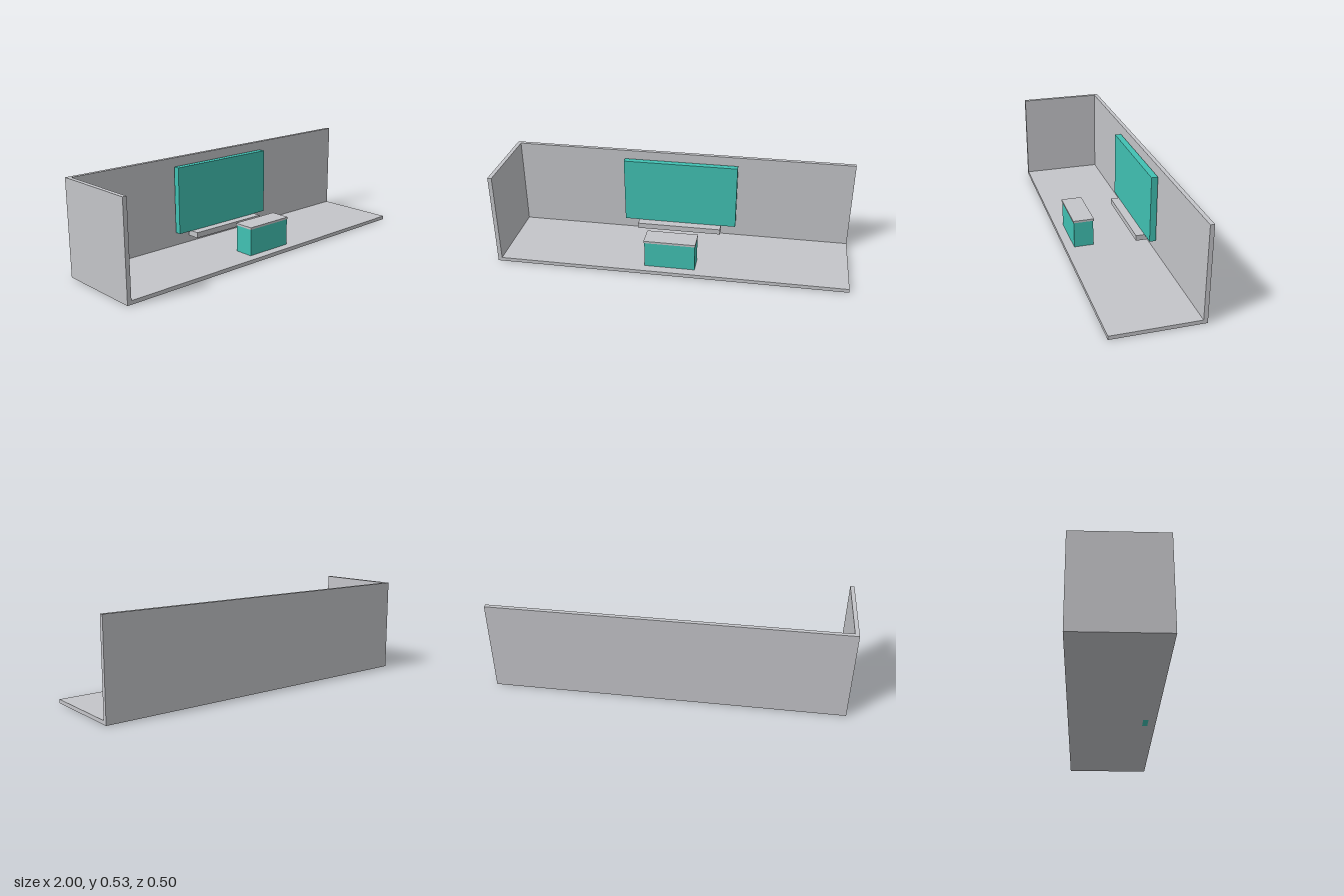
import * as THREE from 'three';

export function createModel() {
  const group = new THREE.Group();
  group.name = 'exhibitionBooth';

  const grey = new THREE.MeshStandardMaterial({ color: 0xc4c5c9 });
  grey.name = 'light grey';
  const teal = new THREE.MeshStandardMaterial({ color: 0x41c1b3 });
  teal.name = 'teal';

  // Box given by its [min, max] extents on each axis
  function slab(name, material, [x0, x1], [y0, y1], [z0, z1]) {
    const mesh = new THREE.Mesh(new THREE.BoxGeometry(x1 - x0, y1 - y0, z1 - z0), material);
    mesh.position.set((x0 + x1) / 2, (y0 + y1) / 2, (z0 + z1) / 2);
    mesh.name = name;
    group.add(mesh);
  }

  // Booth shell: floor, back wall and one side wall
  slab('floor', grey, [-1, 1], [0, 0.021], [-0.25, 0.25]);
  slab('backWall', grey, [-1, 1], [0.021, 0.534], [-0.25, -0.227]);
  slab('sideWall', grey, [-1, -0.977], [0.021, 0.534], [-0.227, 0.25]);

  // Wall display with the shelf beneath it
  slab('displayPanel', teal, [-0.336, 0.334], [0.1, 0.485], [-0.218, -0.182]);
  slab('shelf', grey, [-0.25, 0.248], [0.068, 0.1], [-0.207, -0.132]);

  // Reception counter
  slab('counterBody', teal, [-0.144, 0.142], [0.021, 0.173], [0.087, 0.198]);
  slab('counterTop', grey, [-0.148, 0.145], [0.173, 0.185], [0.083, 0.202]);

  // Small fixing plate under the counter, flush with the underside of the floor
  slab('fixingPlate', teal, [0.035, 0.13], [-0.001, 0.004], [0.175, 0.205]);

  return group;
}
